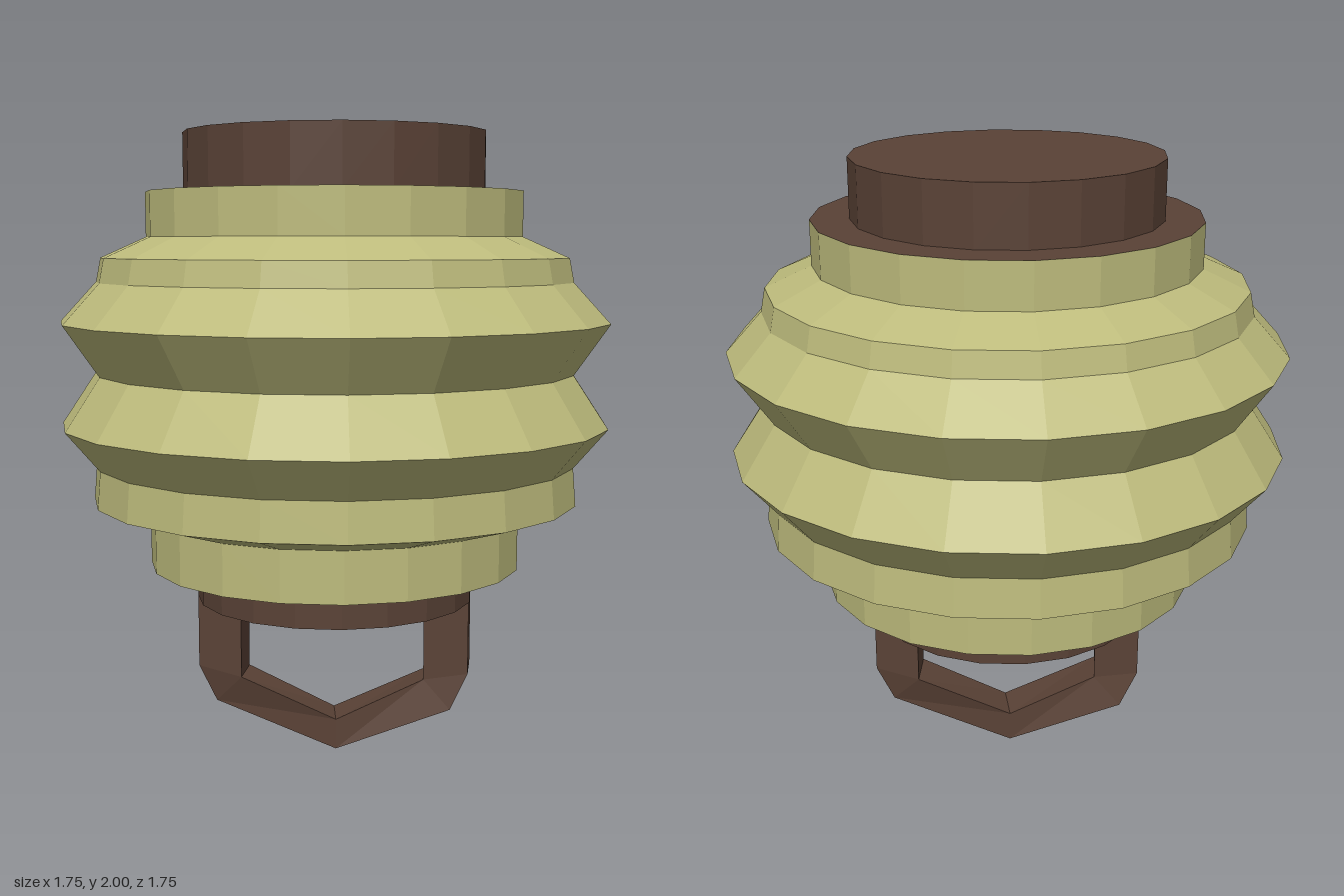
import * as THREE from 'three';

const SIDES = 20;

// Four-sided bar lofted through sections of [outerFront, outerBack, innerBack, innerFront]
function loft(sections) {
  const pos = [];
  for (let s = 0; s < sections.length - 1; s++) {
    const p = sections[s], q = sections[s + 1];
    for (let i = 0; i < 4; i++) {
      const j = (i + 1) % 4;
      pos.push(...p[i], ...q[i], ...q[j], ...p[i], ...q[j], ...p[j]);
    }
  }
  const g = new THREE.BufferGeometry();
  g.setAttribute('position', new THREE.Float32BufferAttribute(pos, 3));
  g.computeVertexNormals();
  return g;
}

export function createModel() {
  const group = new THREE.Group();
  const paper = new THREE.MeshStandardMaterial({ color: 0xbdbb7c, flatShading: true });
  paper.name = 'olive paper';
  const wood = new THREE.MeshStandardMaterial({ color: 0x5a4236, flatShading: true });
  wood.name = 'dark wood';

  const add = (name, geometry, material) => {
    const mesh = new THREE.Mesh(geometry, material);
    mesh.name = name;
    group.add(mesh);
    return mesh;
  };

  // Pleated paper shade
  const profile = [
    [0.6, 0.625], [0.6, 0.785], [0.78, 0.84], [0.77, 0.96], [0.875, 1.085], [0.765, 1.25],
    [0.875, 1.41], [0.76, 1.535], [0.745, 1.61], [0.6, 1.675], [0.6, 1.815],
  ].map(([r, y]) => new THREE.Vector2(r, y));
  add('paperShade', new THREE.LatheGeometry(profile, SIDES), paper);

  // Flat discs closing the shade, and the two round caps
  for (const [name, y, turn] of [['upperDisc', 1.815, -1], ['lowerDisc', 0.625, 1]]) {
    const disc = add(name, new THREE.CircleGeometry(0.6, SIDES), wood);
    disc.rotation.x = turn * Math.PI / 2;
    disc.position.y = y;
  }
  for (const [name, r, y0, y1] of [['topCap', 0.48, 1.81, 2], ['bottomCap', 0.45, 0.51, 0.63]]) {
    add(name, new THREE.CylinderGeometry(r, r, y1 - y0, SIDES), wood).position.y = (y0 + y1) / 2;
  }

  // Hanging loop, slightly turned: [outer x, outer y, inner x, inner y] down the left leg
  const leg = [[0.4375, 0.55, 0.2975, 0.55], [0.4375, 0.27, 0.2975, 0.24], [0.38, 0.15, 0.2975, 0.24]]
    .map(([ox, oy, ix, iy]) => [
      [ox - 0.0125, oy, 0.138], [ox + 0.0125, oy, 0],
      [ix + 0.0125, iy, -0.042], [ix - 0.0125, iy, 0.096],
    ]);
  const tip = [[0, 0, 0.07], [0, 0, -0.07], [0, 0.1, -0.07], [0, 0.1, 0.07]];
  // The other leg is the same, turned half way round
  const half = leg.map((s) => [1, 0, 3, 2].map((k) => [-s[k][0], s[k][1], -s[k][2]])).reverse();
  add('hangingLoop', loft([...leg, tip, ...half]), wood);

  return group;
}
